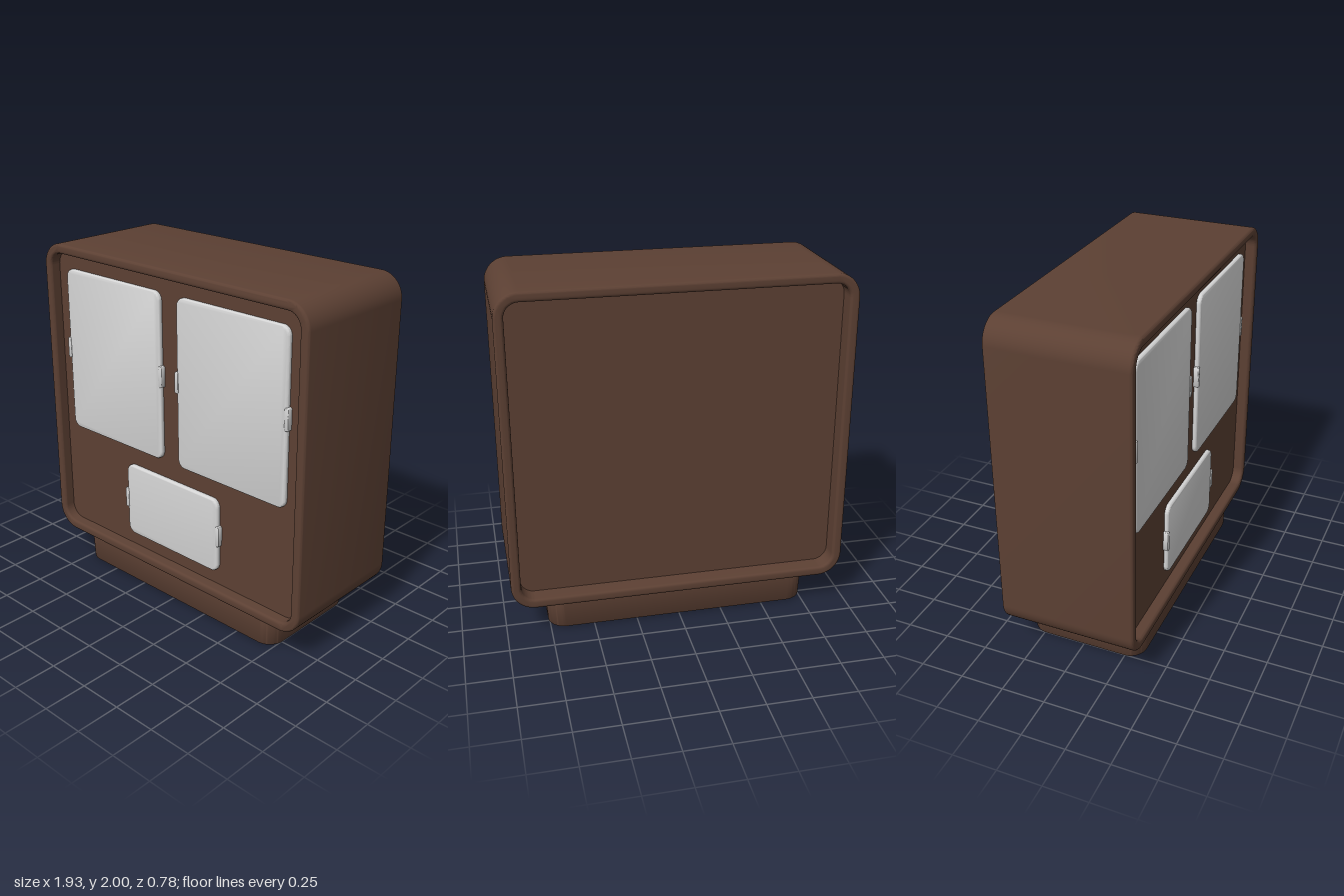
import * as THREE from 'three';
import { toCreasedNormals } from 'three/addons/utils/BufferGeometryUtils.js';

// Traces a rounded rectangle from its edges
function roundedRect(target, x0, x1, y0, y1, r) {
  target.moveTo(x0 + r, y0);
  target.lineTo(x1 - r, y0);
  target.absarc(x1 - r, y0 + r, r, -Math.PI / 2, 0, false);
  target.lineTo(x1, y1 - r);
  target.absarc(x1 - r, y1 - r, r, 0, Math.PI / 2, false);
  target.lineTo(x0 + r, y1);
  target.absarc(x0 + r, y1 - r, r, Math.PI / 2, Math.PI, false);
  target.lineTo(x0, y0 + r);
  target.absarc(x0 + r, y0 + r, r, Math.PI, Math.PI * 1.5, false);
  return target;
}

// Extrudes a shape from z0 to z1, with the bevel kept inside its outline
function slab(shape, z0, z1, bevel) {
  const geometry = new THREE.ExtrudeGeometry(shape, {
    depth: z1 - z0 - 2 * bevel,
    bevelEnabled: bevel > 0,
    bevelThickness: bevel,
    bevelSize: bevel,
    bevelOffset: -bevel,
    bevelSegments: 4,
    curveSegments: 10,
  });
  geometry.translate(0, 0, z0 + bevel);
  return toCreasedNormals(geometry, 0.7);
}

export function createModel() {
  const model = new THREE.Group();
  const brown = new THREE.MeshStandardMaterial({ color: 0x5c4033 });
  brown.name = 'dark brown';
  const grey = new THREE.MeshStandardMaterial({ color: 0xd3d3d3 });
  grey.name = 'light grey';

  const add = (name, geometry, material, parent = model) => {
    const mesh = new THREE.Mesh(geometry, material);
    mesh.name = name;
    parent.add(mesh);
    return mesh;
  };

  // Deep casing with a rounded rim at the front and back
  const casing = roundedRect(new THREE.Shape(), -0.965, 0.965, 0.18, 2, 0.135);
  casing.holes.push(roundedRect(new THREE.Path(), -0.91, 0.91, 0.235, 1.945, 0.08));
  add('casing', slab(casing, -0.39, 0.39, 0.016), brown);

  // Recessed front and back panels, closed as one core
  const core = roundedRect(new THREE.Shape(), -0.92, 0.92, 0.225, 1.955, 0.09);
  add('core', slab(core, -0.29, 0.325, 0), brown);

  // Foot, rounded in plan and slightly wider at the top
  const plan = roundedRect(new THREE.Shape(), -0.765, 0.765, -0.345, 0.345, 0.1);
  const foot = slab(plan, 0, 0.2, 0.01);
  foot.rotateX(-Math.PI / 2);
  const p = foot.attributes.position;
  for (let i = 0; i < p.count; i++) {
    const k = 0.99 + 0.06 * p.getY(i);
    p.setXYZ(i, p.getX(i) * k, p.getY(i), p.getZ(i) * k + 0.005);
  }
  add('foot', toCreasedNormals(foot, 0.7), brown);

  // Light panels with a small clip on each side
  const panels = [
    ['rightPanel', -0.825, -0.068, 0.88, 1.855, 1.38],
    ['leftPanel', 0.058, 0.818, 0.88, 1.855, 1.38],
    ['lowerPanel', -0.365, 0.355, 0.32, 0.77, 0.55],
  ];
  for (const [name, x0, x1, y0, y1, clipY] of panels) {
    const group = new THREE.Group();
    group.name = name;
    model.add(group);
    const face = roundedRect(new THREE.Shape(), x0, x1, y0, y1, 0.05);
    add('panelFace', slab(face, 0.315, 0.35, 0.012), grey, group);
    for (const x of [x0, x1]) {
      const clip = roundedRect(new THREE.Shape(), x - 0.013, x + 0.013, clipY - 0.062, clipY + 0.062, 0.01);
      add('clip', slab(clip, 0.315, 0.355, 0.005), grey, group);
    }
  }
  return model;
}
